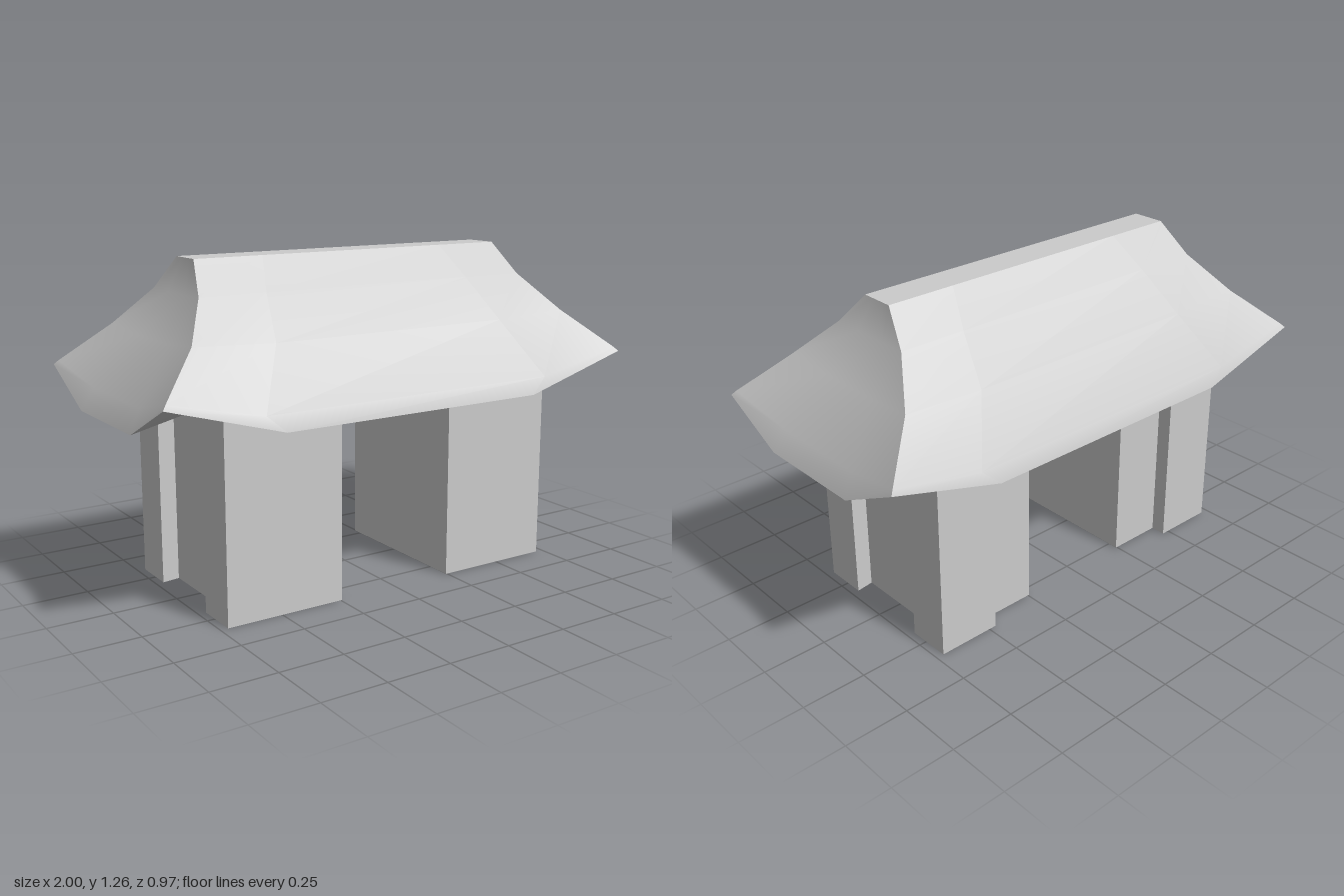
import * as THREE from 'three';

const grey = new THREE.MeshStandardMaterial({ color: 0xcccccc, side: THREE.DoubleSide });

// Smooth sheet through equal rows of points, rows bottom to top, points left to right
function sheet(rows) {
  const n = rows[0].length, index = [];
  for (let r = 0; r < rows.length - 1; r++) {
    for (let i = 0; i < n - 1; i++) {
      const a = r * n + i, b = a + 1, c = a + n, d = c + 1;
      index.push(a, b, d, a, d, c);
    }
  }
  const g = new THREE.BufferGeometry();
  g.setAttribute('position', new THREE.Float32BufferAttribute(rows.flat(2), 3));
  g.setIndex(index);
  g.computeVertexNormals();
  return g;
}

// Row for a front panel: corner (x, y, z) and inner point (mx, my, mz), mirrored in x
const frontRow = ([x, y, z], [mx, my, mz]) => [[-x, y, z], [-mx, my, mz], [mx, my, mz], [x, y, z]];
// Row for an end panel, mirrored in z
const endRow = ([x, y, z], [mx, my, mz]) => [[x, y, z], [mx, my, mz], [mx, my, -mz], [x, y, -z]];

export function createModel() {
  const model = new THREE.Group();
  const add = (name, geometry, parent = model) => {
    const mesh = new THREE.Mesh(geometry, grey);
    mesh.name = name;
    parent.add(mesh);
    return mesh;
  };

  // Hip line from the lifted eave corner up to the ridge
  const hip = [[1, 0.837, 0.485], [0.985, 0.853, 0.472], [0.82, 1.0, 0.33], [0.715, 1.14, 0.18], [0.675, 1.26, 0.067]];
  // Middle of the front slope and of the end slope at the same levels
  const frontMid = [[0.55, 0.708, 0.485], [0.62, 0.77, 0.468], [0.5, 0.985, 0.33], [0.45, 1.14, 0.18], [0.4, 1.26, 0.067]];
  const endMid = [[1, 0.706, 0.22], [0.957, 0.79, 0.2], [0.81, 0.98, 0.13], [0.71, 1.135, 0.07], [0.675, 1.26, 0.025]];
  const wallTop = [0.72, 0.755, 0.35];

  // Slopes and sloping soffits, repeated on the opposite side by a half turn
  const roof = new THREE.Group();
  roof.name = 'roof';
  model.add(roof);
  const panels = {
    longSlope: sheet(hip.map((p, i) => frontRow(p, frontMid[i]))),
    endSlope: sheet(hip.map((p, i) => endRow(p, endMid[i]))),
    longSoffit: sheet([frontRow(wallTop, [0.5, 0.755, 0.35]), frontRow(hip[0], frontMid[0])]),
    endSoffit: sheet([endRow(wallTop, [0.72, 0.755, 0.18]), endRow(hip[0], endMid[0])]),
  };
  for (const [name, geometry] of Object.entries(panels)) {
    add(name, geometry, roof);
    add(name, geometry, roof).rotation.y = Math.PI;
  }

  // Flat ridge top
  const ridge = add('ridgeTop', new THREE.PlaneGeometry(1.35, 0.134).rotateX(-Math.PI / 2), roof);
  ridge.position.y = 1.26;

  // Ceiling over the passage and the pier recesses
  const ceiling = add('ceiling', new THREE.BoxGeometry(1.44, 0.04, 0.7));
  ceiling.position.y = 0.775;

  // Piers: recessed outer end, stepped back face
  const plan = [
    [0.245, 0.35], [0.72, 0.35], [0.72, 0.18], [0.65, 0.19], [0.65, -0.19],
    [0.72, -0.18], [0.72, -0.35], [0.47, -0.35], [0.47, -0.29], [0.245, -0.29],
  ];
  for (const side of [1, -1]) {
    const shape = new THREE.Shape(plan.map(([x, z]) => new THREE.Vector2(side * x, -z)));
    const geometry = new THREE.ExtrudeGeometry(shape, { depth: 0.757, bevelEnabled: false });
    add(side > 0 ? 'leftPier' : 'rightPier', geometry.rotateX(-Math.PI / 2));
  }
  return model;
}
